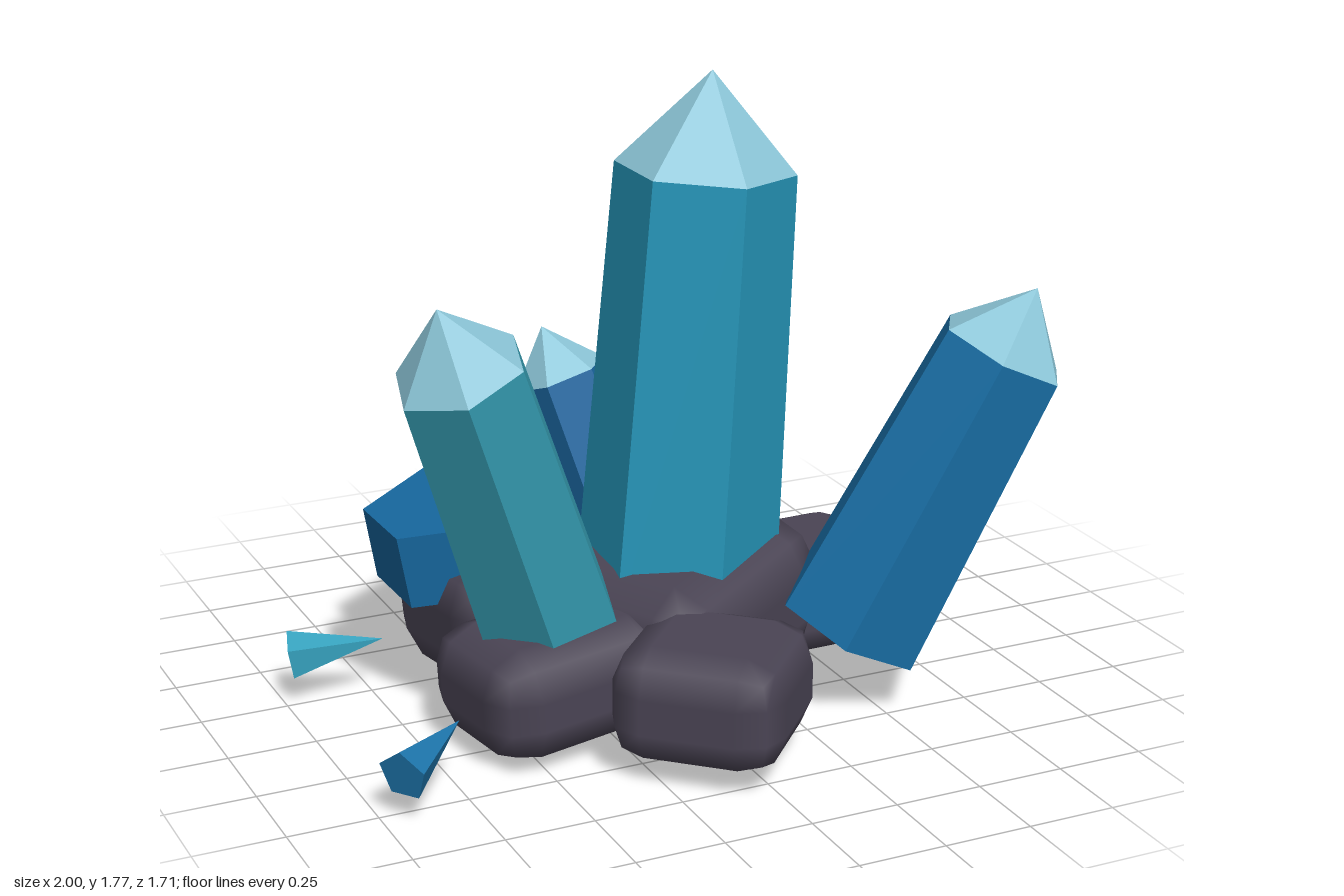
import * as THREE from 'three';
import { RoundedBoxGeometry } from 'three/addons/geometries/RoundedBoxGeometry.js';

const UP = new THREE.Vector3(0, 1, 0);
const flat = (color) => new THREE.MeshStandardMaterial({ color, flatShading: true });
const tipMaterial = flat(0x8cc6d8);
const rockMaterial = new THREE.MeshStandardMaterial({ color: 0x4a4454 });

// Group at the point a, with its y axis aimed at the point b
function aimed(name, a, b) {
  const start = new THREE.Vector3(...a);
  const dir = new THREE.Vector3(...b).sub(start);
  const group = new THREE.Group();
  group.name = name;
  group.position.copy(start);
  group.quaternion.setFromUnitVectors(UP, dir.clone().normalize());
  return { group, length: dir.length() };
}

function addMesh(group, name, geometry, material, y, twist) {
  const mesh = new THREE.Mesh(geometry, material);
  mesh.name = name;
  mesh.position.y = y;
  mesh.rotation.y = twist;
  group.add(mesh);
}

// Six-sided shaft narrowing to a shoulder, with an optional pointed tip
function crystal({ name, base, shoulder, r0, r1, tip, twist, color }) {
  const { group, length } = aimed(name, base, shoulder);
  addMesh(group, 'shaft', new THREE.CylinderGeometry(r1, r0, length, 6), flat(color), length / 2, twist);
  if (tip) addMesh(group, 'tip', new THREE.ConeGeometry(r1, tip, 6), tipMaterial, length + tip / 2, twist);
  return group;
}

// Loose five-sided splinter lying by the cluster
function shard([base, point, color]) {
  const { group, length } = aimed('shard', base, point);
  addMesh(group, 'splinter', new THREE.ConeGeometry(0.072, length, 5), flat(color), length / 2, Math.PI / 2);
  return group;
}

// Chamfered boulder
function rock([name, size, position, rotation, radius]) {
  const mesh = new THREE.Mesh(new RoundedBoxGeometry(...size, 1, radius), rockMaterial);
  mesh.name = name;
  mesh.position.set(...position);
  mesh.rotation.set(...rotation, 'YXZ');
  return mesh;
}

const crystals = [
  { name: 'mainCrystal', base: [0.058, 0.3, 0.053], shoulder: [0.145, 1.525, 0.055], r0: 0.285, r1: 0.25, tip: 0.27, twist: 0, color: 0x2595b8 },
  { name: 'rightLeaningCrystal', base: [-0.335, 0.2, 0.16], shoulder: [-0.675, 1.13, 0.3], r0: 0.21, r1: 0.185, tip: 0.2, twist: -0.28, color: 0x359bb0 },
  { name: 'leftLeaningCrystal', base: [0.46, 0.24, 0.352], shoulder: [0.83, 1.045, 0.505], r0: 0.225, r1: 0.19, tip: 0.195, twist: 0.47, color: 0x1a70a8 },
  { name: 'backCrystal', base: [0.08, 0.28, -0.33], shoulder: [-0.07, 0.81, -0.465], r0: 0.16, r1: 0.14, tip: 0.15, twist: 0.4, color: 0x1a66a0 },
  { name: 'brokenCrystal', base: [-0.4, 0.32, -0.34], shoulder: [-0.44, 0.53, -0.346], r0: 0.285, r1: 0.28, tip: 0, twist: 0, color: 0x1768a0 },
];

const shards = [
  [[-0.395, 0.155, -0.795], [-0.14, 0.19, -0.825], 0x2698b8],
  [[-0.97, 0.155, -0.29], [-0.73, 0.2, -0.2], 0x35a0bc],
  [[-0.95, 0.155, 0.55], [-0.73, 0.2, 0.39], 0x1d74aa],
];

const rocks = [
  ['centreRock', [0.7, 0.42, 0.7], [0.03, 0.27, 0.05], [0, 0.49, 0.16], 0.15],
  ['frontRock', [0.48, 0.32, 0.48], [-0.07, 0.235, 0.56], [0, 0.82, 0], 0.11],
  ['rightRock', [0.58, 0.32, 0.46], [-0.39, 0.21, 0.23], [0, 0.15, 0.06], 0.12],
  ['leftRock', [0.42, 0.3, 0.46], [0.52, 0.22, -0.03], [0, -0.06, 0.04], 0.1],
  ['backLeftRock', [0.6, 0.38, 0.5], [0.2, 0.245, -0.4], [0.1, 0.27, 0], 0.12],
  ['backRightRock', [0.6, 0.38, 0.55], [-0.29, 0.235, -0.26], [-0.06, 0.12, 0.08], 0.13],
];

export function createModel() {
  const model = new THREE.Group();
  model.name = 'crystalCluster';
  model.add(...rocks.map(rock), ...crystals.map(crystal), ...shards.map(shard));
  return model;
}
